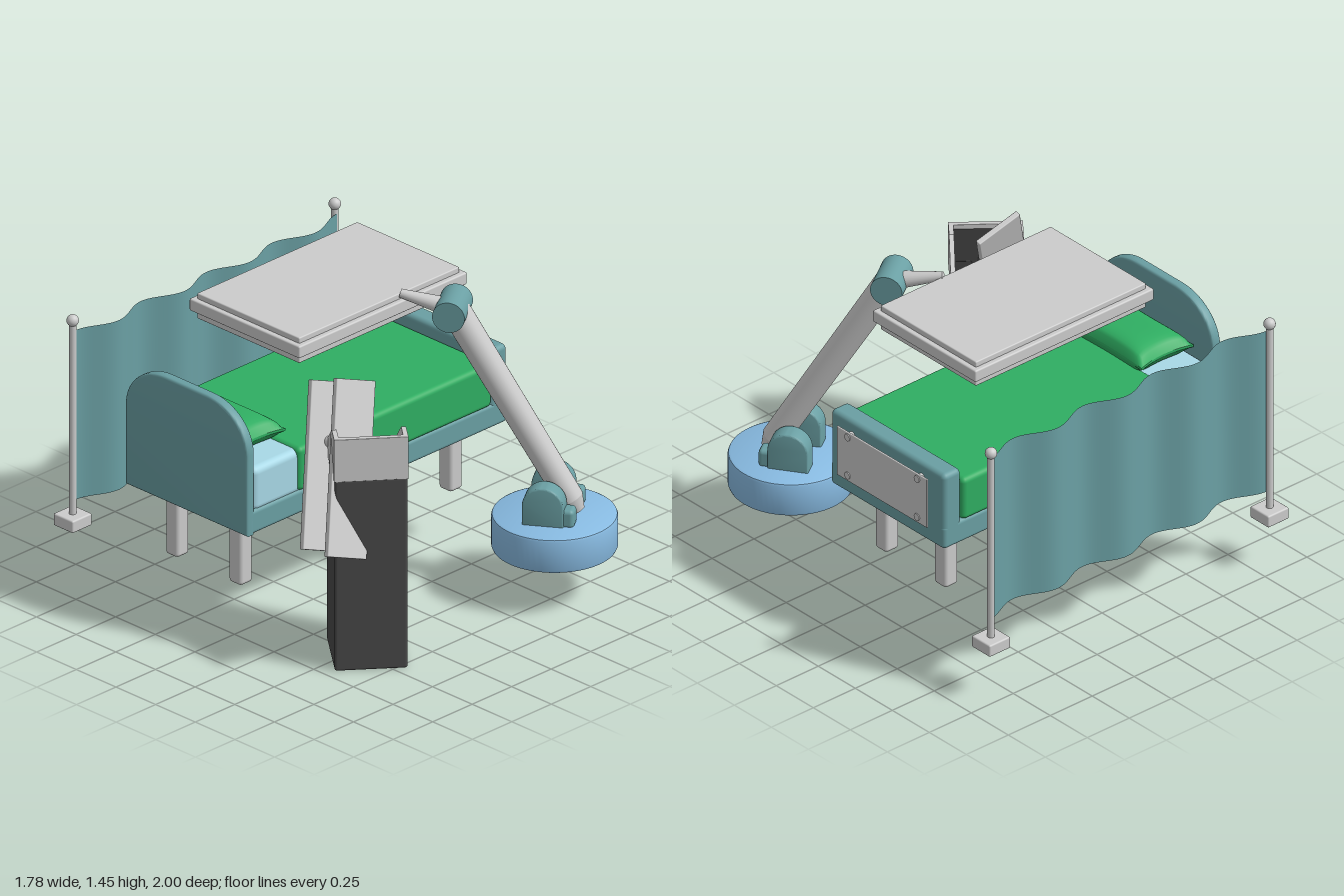
import * as THREE from 'three';
import { RoundedBoxGeometry } from 'three/addons/geometries/RoundedBoxGeometry.js';
import { toCreasedNormals } from 'three/addons/utils/BufferGeometryUtils.js';

const mat = (color, side = THREE.FrontSide) => new THREE.MeshStandardMaterial({ color, side });
const V = (x, y, z) => new THREE.Vector3(x, y, z);

export function createModel() {
  const model = new THREE.Group();
  const grey = mat(0xcccccc), teal = mat(0x6a9fa3), green = mat(0x2fae62), paleBlue = mat(0xa8d8e6);
  const blue = mat(0x88bbe2), dark = mat(0x484848), black = mat(0x101010);

  const add = (parent, name, geo, material, x = 0, y = 0, z = 0) => {
    const m = new THREE.Mesh(geo, material);
    m.name = name;
    m.position.set(x, y, z);
    parent.add(m);
    return m;
  };
  const group = (name, x = 0, y = 0, z = 0, turn = 0) => {
    const g = new THREE.Group();
    g.name = name;
    g.position.set(x, y, z);
    g.rotation.y = turn;
    model.add(g);
    return g;
  };
  // Box given by its minimum and maximum corners
  const block = (parent, name, material, [x0, y0, z0], [x1, y1, z1], r = 0.015) =>
    add(parent, name, new RoundedBoxGeometry(x1 - x0, y1 - y0, z1 - z0, 3, r), material,
      (x0 + x1) / 2, (y0 + y1) / 2, (z0 + z1) / 2);
  // Tapered rod from a to b
  const rod = (parent, name, material, a, b, ra, rb, sides = 32) => {
    const m = add(parent, name, new THREE.CylinderGeometry(rb, ra, a.distanceTo(b), sides), material);
    m.position.copy(a).add(b).multiplyScalar(0.5);
    m.quaternion.setFromUnitVectors(V(0, 1, 0), b.clone().sub(a).normalize());
    return m;
  };
  // Outline in x and y, extruded centrally along z
  const slab = (shape, depth, bevel = 0) => {
    const g = new THREE.ExtrudeGeometry(shape, {
      depth: depth - 2 * bevel, curveSegments: 16, bevelEnabled: bevel > 0,
      bevelSize: bevel, bevelOffset: -bevel, bevelThickness: bevel, bevelSegments: 3,
    });
    g.translate(0, 0, -depth / 2 + bevel);
    return toCreasedNormals(g, 0.6);
  };
  const poly = pts => new THREE.Shape(pts.map(p => new THREE.Vector2(...p)));

  // Bed frame, boards and legs
  const bed = group('bed');
  block(bed, 'bedFrame', teal, [-0.85, 0.58, -0.59], [0.8, 0.7, 0.18], 0.02);
  block(bed, 'footboard', teal, [0.695, 0.58, -0.59], [0.8, 0.97, 0.18], 0.025);
  const arch = new THREE.Shape();
  arch.moveTo(-0.385, 0.58);
  arch.lineTo(0.385, 0.58);
  arch.lineTo(0.385, 0.98);
  arch.bezierCurveTo(0.385, 1.1, 0.27, 1.2, 0.13, 1.2);
  arch.lineTo(-0.13, 1.2);
  arch.bezierCurveTo(-0.27, 1.2, -0.385, 1.1, -0.385, 0.98);
  add(bed, 'headboard', slab(arch, 0.05, 0.012), teal, -0.826, 0, -0.205).rotation.y = Math.PI / 2;
  for (const x of [-0.71, 0.62]) for (const z of [0, -0.4])
    block(bed, 'bedLeg', grey, [x - 0.04, 0.25, z - 0.04], [x + 0.04, 0.6, z + 0.04], 0.018);

  // Chart plate on the footboard with four pegs
  block(bed, 'footPlate', grey, [0.818, 0.67, -0.505], [0.828, 0.925, 0.105], 0.004);
  for (const y of [0.7, 0.9]) for (const z of [-0.44, 0.03])
    rod(bed, 'platePeg', grey, V(0.79, y, z), V(0.833, y, z), 0.018, 0.018, 16);

  // Bedding
  block(bed, 'mattress', paleBlue, [-0.805, 0.68, -0.585], [0.69, 0.9, 0.175], 0.035);
  block(bed, 'blanket', green, [-0.53, 0.695, -0.6], [0.695, 0.912, 0.19], 0.025);
  const pillowGeo = new THREE.BoxGeometry(2, 2, 2, 20, 2, 20);
  const p = pillowGeo.attributes.position;
  for (let i = 0; i < p.count; i++) {
    const u = p.getX(i), v = p.getZ(i);
    const puff = Math.sqrt((1 - u ** 4) * (1 - v ** 4));
    p.setXYZ(i, 0.155 * u * (1 - 0.09 * (1 - v * v)), p.getY(i) * (0.006 + 0.06 * puff),
      0.262 * v * (1 - 0.1 * (1 - u * u)));
  }
  pillowGeo.computeVertexNormals();
  add(bed, 'pillow', pillowGeo, green, -0.64, 0.948, -0.205);

  // Folding screen: wavy curtain between two posts
  const screen = group('screen');
  const curtain = new THREE.PlaneGeometry(1.65, 0.845, 96, 1);
  const c = curtain.attributes.position;
  for (let i = 0; i < c.count; i++)
    c.setZ(i, -0.888 - 0.033 * Math.cos(c.getX(i) * 2 * Math.PI / 0.415));
  curtain.computeVertexNormals();
  add(screen, 'curtain', curtain, mat(0x6a9fa3, THREE.DoubleSide), 0, 0.8, 0);
  for (const x of [-0.832, 0.828]) {
    block(screen, 'postFoot', grey, [x - 0.062, 0.245, -1], [x + 0.062, 0.305, -0.876], 0.008);
    rod(screen, 'post', grey, V(x, 0.3, -0.938), V(x, 1.26, -0.938), 0.017, 0.017, 20);
    add(screen, 'postKnob', new THREE.SphereGeometry(0.028, 20, 14), grey, x, 1.266, -0.938);
  }

  // Overhead scanner panel in three layers
  const panel = group('overheadPanel');
  block(panel, 'panelTop', grey, [-0.475, 1.39, -0.51], [0.54, 1.427, 0.135], 0.006);
  block(panel, 'panelBody', grey, [-0.5, 1.34, -0.535], [0.565, 1.4, 0.16], 0.008);
  block(panel, 'panelUnderside', grey, [-0.475, 1.3, -0.51], [0.54, 1.35, 0.135], 0.006);

  // Round stand with a rounded rim
  const stand = group('armStand', 0.56, 0, 0.715);
  const rim = [[0, 0.23], [0.27, 0.23], [0.28, 0.235], [0.284, 0.245], [0.284, 0.385],
    [0.28, 0.395], [0.27, 0.4], [0, 0.4]].map(q => new THREE.Vector2(...q));
  add(stand, 'standBase', toCreasedNormals(new THREE.LatheGeometry(rim, 64), 0.6), blue);

  // Clevis on the stand: a domed cheek and a low front block on each side
  const turn = 0.593;
  const clevis = group('clevis', 0.565, 0.39, 0.71, turn);
  const cheek = new THREE.Shape();
  cheek.moveTo(-0.095, 0);
  cheek.lineTo(0.095, 0);
  cheek.lineTo(0.095, 0.1);
  cheek.absarc(0, 0.1, 0.095, 0, Math.PI);
  for (const s of [-1, 1]) {
    add(clevis, 'cheek', slab(cheek, 0.09, 0.008), teal, s * 0.115, 0, -0.025).rotation.y = Math.PI / 2;
    block(clevis, 'cheekFront', teal, [s * 0.108 - 0.042, 0, 0.03], [s * 0.108 + 0.042, 0.09, 0.115], 0.02);
  }
  rod(clevis, 'pivotPin', grey, V(-0.12, 0.09, 0.03), V(0.12, 0.09, 0.03), 0.03, 0.03);

  // Leaning arm, elbow drum and tapering wrist
  const arm = group('arm');
  rod(arm, 'mainArm', grey, V(0.605, 0.47, 0.77), V(0.31, 1.37, 0.33), 0.062, 0.068);
  rod(arm, 'armTip', grey, V(0.623, 0.415, 0.797), V(0.605, 0.47, 0.77), 0.035, 0.062);
  const drum = V(Math.cos(turn), 0, -Math.sin(turn)).multiplyScalar(0.1);
  const elbow = V(0.302, 1.371, 0.328);
  rod(arm, 'elbowDrum', teal, elbow.clone().sub(drum), elbow.clone().add(drum), 0.074, 0.074, 40);
  rod(arm, 'wrist', grey, elbow, V(0.165, 1.428, 0.135), 0.045, 0.02, 24);

  // Console cabinet with a sloped hood around a dark display
  const console_ = group('console', -0.468, 0, 0.557, 0.891);
  block(console_, 'cabinet', dark, [-0.167, 0, -0.164], [0.167, 0.95, 0.164], 0.012);
  const hood = poly([[-0.17, 0.945], [0.17, 0.945], [0.17, 0.985], [-0.065, 1.155], [-0.17, 1.155]]);
  for (const s of [-1, 1]) add(console_, 'hoodSide', slab(hood, 0.022), grey, 0, 0, s * 0.156);
  block(console_, 'hoodBack', grey, [-0.17, 0.945, -0.15], [-0.145, 1.155, 0.15], 0.002);
  block(console_, 'hoodLip', grey, [0.142, 0.945, -0.15], [0.17, 0.985, 0.15], 0.002);
  const well = poly([[-0.15, 0.945], [0.15, 0.945], [0.15, 0.968], [-0.15, 1.135]]);
  add(console_, 'display', slab(well, 0.3), black);
  const trace = new THREE.CurvePath();
  const slopeY = x => 0.968 + (0.15 - x) * 0.5567 + 0.003;
  const beats = [[0, -0.14], [0, -0.07], [-0.04, -0.05], [0.05, -0.02], [-0.08, 0.02], [0.04, 0.05], [0, 0.07], [0, 0.14]]
    .map(([x, z]) => V(x, slopeY(x), z));
  for (let i = 1; i < beats.length; i++) trace.add(new THREE.LineCurve3(beats[i - 1], beats[i]));
  add(console_, 'displayTrace', new THREE.TubeGeometry(trace, 84, 0.002, 5), dark);

  // Two parallel leaning boards joined by a peg
  const boards = group('leaningBoards', -0.565, 0.95, 0.545);
  const w = V(0.935, -0.345, 0.11).normalize();
  const n = w.clone().cross(V(0.363, 0.888, -0.288)).normalize();
  boards.quaternion.setFromRotationMatrix(new THREE.Matrix4().makeBasis(w, n.clone().cross(w), n));
  add(boards, 'frontBoard', new RoundedBoxGeometry(0.235, 0.8, 0.028, 2, 0.005), grey);
  add(boards, 'backBoard', new RoundedBoxGeometry(0.235, 0.76, 0.028, 2, 0.005), grey, 0, 0.01, -0.165);
  rod(boards, 'boardPeg', grey, V(0, 0.12, 0), V(0, 0.12, -0.21), 0.025, 0.025, 16);

  return model;
}
